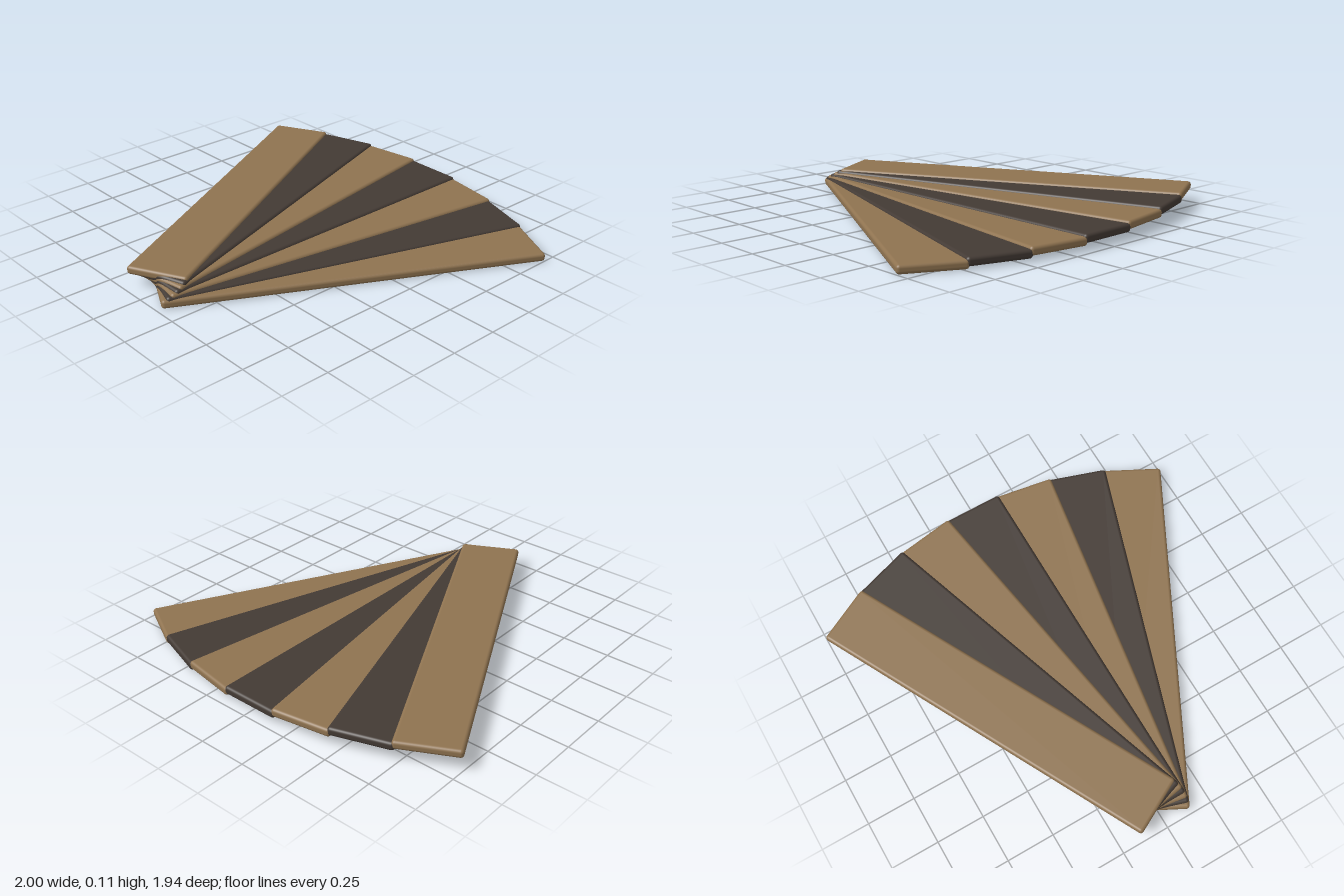
import * as THREE from 'three';
import { RoundedBoxGeometry } from 'three/addons/geometries/RoundedBoxGeometry.js';

const COUNT = 7, WIDTH = 0.314, LENGTH = 1.875, THICK = 0.043;
const STEP = 0.0112;                              // height between blades
const SPREAD = THREE.MathUtils.degToRad(27.5);    // angle of the outer blades
const PIVOT_Z = 0.905;

export function createModel() {
  const fan = new THREE.Group();
  fan.name = 'foldingFan';

  const tan = new THREE.MeshStandardMaterial({ color: 0x8f7350 });
  const dark = new THREE.MeshStandardMaterial({ color: 0x433a34 });

  // One blade, moved so that the middle of its near end is the pivot
  const geometry = new RoundedBoxGeometry(WIDTH, THICK, LENGTH, 4, 0.016);
  geometry.translate(0, 0, -LENGTH / 2);

  // Blades fan out from the low right one to the high left one
  for (let i = 0; i < COUNT; i++) {
    const blade = new THREE.Mesh(geometry, i % 2 ? dark : tan);
    blade.name = `blade${i + 1}`;
    blade.position.set(0, THICK / 2 + i * STEP, PIVOT_Z);
    blade.rotation.y = SPREAD * (2 * i / (COUNT - 1) - 1);
    fan.add(blade);
  }
  return fan;
}
